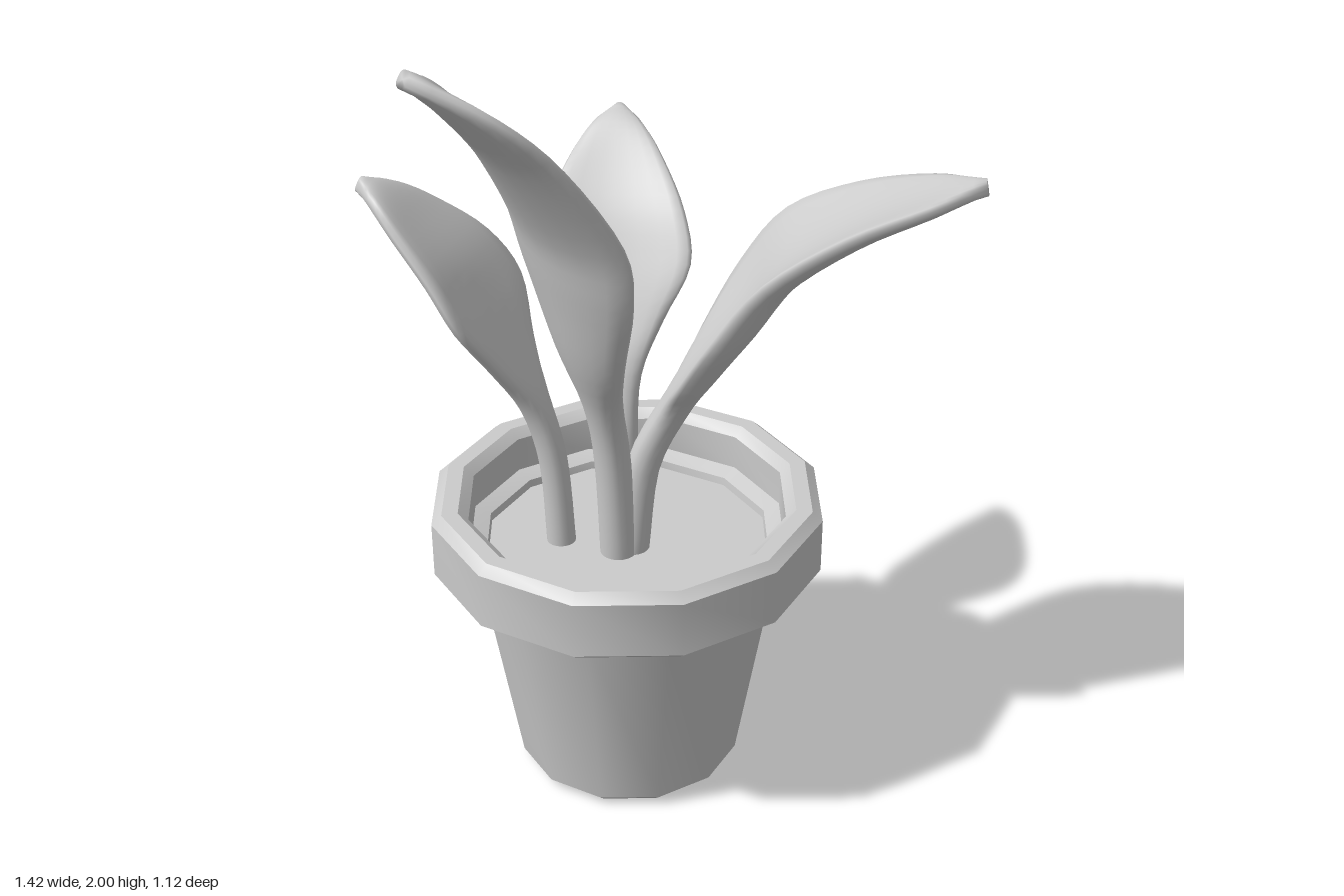
import * as THREE from 'three';
import { toCreasedNormals } from 'three/addons/utils/BufferGeometryUtils.js';

const material = new THREE.MeshStandardMaterial({ color: 0xcccccc });
const SIDES = 12;

// Leaf profiles from stem to tip: [reach from base, height, half width]
const broadProfile = [
  [0, 0.6, 0.043], [0.03, 0.85, 0.045], [0.1, 1.02, 0.072], [0.15, 1.14, 0.16], [0.23, 1.29, 0.24],
  [0.335, 1.43, 0.235], [0.505, 1.525, 0.175], [0.677, 1.58, 0.105], [0.793, 1.605, 0.015]];
const tallProfile = [
  [0, 0.6, 0.045], [0.02, 0.88, 0.047], [0.053, 1.05, 0.062], [0.103, 1.22, 0.135], [0.14, 1.42, 0.22],
  [0.187, 1.58, 0.245], [0.325, 1.78, 0.2], [0.451, 1.905, 0.145], [0.582, 1.985, 0.02]];
const smallProfile = [
  [0, 0.6, 0.036], [0.015, 0.84, 0.036], [0.055, 1, 0.05], [0.105, 1.13, 0.11], [0.155, 1.26, 0.18],
  [0.225, 1.37, 0.168], [0.32, 1.46, 0.118], [0.39, 1.515, 0.068], [0.45, 1.54, 0.012]];

// Leaf with stem, rising from base towards tip (both xz). The blade is turned to
// the facing direction, its middle is hollowed by cup, and the stem bows by sway.
function leafGeometry({ profile, base, tip, facing, cup, sway }) {
  const from = new THREE.Vector3(base[0], 0, base[1]);
  const heading = new THREE.Vector3(tip[0], 0, tip[1]).sub(from).normalize();
  const across = new THREE.Vector3(heading.z, 0, -heading.x);
  const reachEnd = profile[profile.length - 1][0];
  const smooth = (points) => new THREE.CatmullRomCurve3(points, false, 'catmullrom');
  const path = smooth(profile.map(([reach, y]) => {
    const p = from.clone().addScaledVector(heading, reach);
    p.addScaledVector(across, sway * Math.sin(Math.PI * reach / reachEnd));
    return p.setY(y);
  }));
  const widths = smooth(profile.map((p, i) => new THREE.Vector3(p[2], i, 0)));
  const side = new THREE.Vector3(-facing[1], 0, facing[0]).normalize();

  const rings = 32, around = 20;
  const positions = [], index = [];
  for (let i = 0; i <= rings + 1; i++) {
    const u = Math.min(i / rings, 1);
    const closed = i > rings;
    const centre = path.getPoint(u);
    const normal = new THREE.Vector3().crossVectors(side, path.getTangent(u)).normalize();
    const w = closed ? 0 : Math.max(widths.getPoint(u).x, 0.01);
    // round stem flattening into a thick-edged blade with raised sides
    const t = closed ? 0 : THREE.MathUtils.lerp(profile[0][2], 0.02, u);
    const fullness = THREE.MathUtils.lerp(1, 0.6, Math.min(1, u * 2));
    const hollow = cup * Math.max(0, w - 0.045);
    for (let j = 0; j < around; j++) {
      const a = (j / around) * Math.PI * 2;
      const s = Math.sin(a);
      const bulge = Math.sign(s) * Math.abs(s) ** fullness;
      const p = centre.clone()
        .addScaledVector(side, w * Math.cos(a))
        .addScaledVector(normal, t * bulge - hollow * s * s);
      positions.push(p.x, p.y, p.z);
      if (i <= rings) {
        const p0 = i * around + j, p1 = i * around + (j + 1) % around;
        index.push(p0, p0 + around, p1, p1, p0 + around, p1 + around);
      }
    }
  }
  const geometry = new THREE.BufferGeometry();
  geometry.setAttribute('position', new THREE.Float32BufferAttribute(positions, 3));
  geometry.setIndex(index);
  geometry.computeVertexNormals();
  return geometry;
}

const leaves = {
  leftLeaf: { profile: broadProfile, base: [-0.08, 0.014], tip: [0.705, -0.1],
    facing: [1, -0.06], cup: 0.3, sway: 0.018 },
  frontLeaf: { profile: tallProfile, base: [-0.105, 0.04], tip: [-0.385, 0.55],
    facing: [-0.67, 0.74], cup: 0.25, sway: 0.03 },
  rightLeaf: { profile: smallProfile, base: [-0.255, 0.025], tip: [-0.705, 0.065],
    facing: [-1, -0.08], cup: 0.25, sway: 0 },
  backLeaf: { profile: smallProfile, base: [-0.13, -0.112], tip: [-0.25, -0.555],
    facing: [-0.08, -1], cup: 0.25, sway: 0.012 },
};

export function createModel() {
  const model = new THREE.Group();
  const add = (name, geometry, parent) => {
    const mesh = new THREE.Mesh(geometry, material);
    mesh.name = name;
    parent.add(mesh);
    return mesh;
  };
  const lathe = (profile) => toCreasedNormals(new THREE.LatheGeometry(
    profile.map(([r, y]) => new THREE.Vector2(r, y)), SIDES), 0.54);

  // Twelve-sided pot: tapered body, chamfered collar, hollow top with a ledge
  const pot = new THREE.Group();
  pot.name = 'pot';
  pot.position.set(-0.097, 0, -0.014);
  model.add(pot);
  add('potBody', lathe([[0, 0], [0.255, 0], [0.282, 0.025], [0.372, 0.565]]), pot);
  add('potRim', lathe([
    [0.372, 0.565], [0.395, 0.585], [0.46, 0.585], [0.485, 0.605], [0.485, 0.745],
    [0.46, 0.767], [0.42, 0.767], [0.395, 0.745], [0.395, 0.655], [0.355, 0.64], [0.35, 0.6]]), pot);
  const soil = add('soil', new THREE.CircleGeometry(0.36, SIDES).rotateX(-Math.PI / 2), pot);
  soil.position.y = 0.62;

  // Leaves
  for (const [name, leaf] of Object.entries(leaves)) add(name, leafGeometry(leaf), model);
  return model;
}
